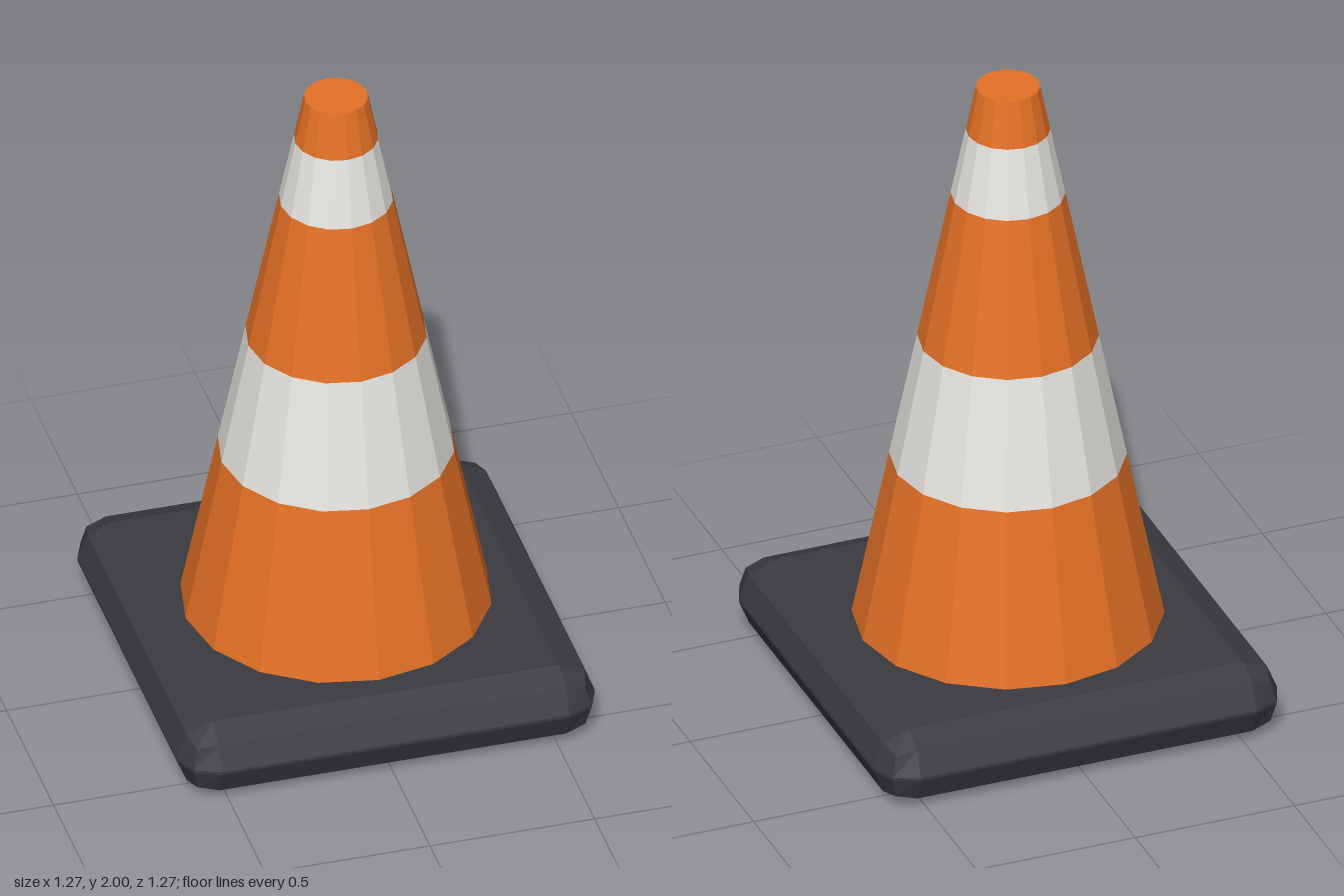
import * as THREE from 'three';
import { RoundedBoxGeometry } from 'three/addons/geometries/RoundedBoxGeometry.js';

const SIDES = 16;
const BASE_HEIGHT = 0.225;
const CONE_BOTTOM = { y: BASE_HEIGHT, r: 0.457 };
const CONE_TOP = { y: 2, r: 0.094 };

function material(name, color) {
  const m = new THREE.MeshStandardMaterial({ color, flatShading: true });
  m.name = name;
  return m;
}

// Radius of the straight cone wall at a given height
function radiusAt(y) {
  return THREE.MathUtils.mapLinear(y, CONE_BOTTOM.y, CONE_TOP.y, CONE_BOTTOM.r, CONE_TOP.r);
}

export function createModel() {
  const orange = material('orange plastic', 0xe57126);
  const white = material('white reflective band', 0xe6e4df);
  const rubber = material('dark rubber', 0x3a3a40);

  const group = new THREE.Group();
  group.name = 'trafficCone';

  // Square foot with two-step bevelled edges
  const base = new THREE.Mesh(new RoundedBoxGeometry(1.27, BASE_HEIGHT, 1.27, 1, 0.108), rubber);
  base.name = 'base';
  base.position.y = BASE_HEIGHT / 2;
  group.add(base);

  // Cone wall, stacked from alternating bands
  const bands = [
    ['lowerBody', CONE_BOTTOM.y, 0.76, orange],
    ['wideStripe', 0.76, 1.16, white],
    ['middleBody', 1.16, 1.64, orange],
    ['narrowStripe', 1.64, 1.855, white],
    ['tip', 1.855, CONE_TOP.y, orange],
  ];
  for (const [name, y0, y1, mat] of bands) {
    const geometry = new THREE.CylinderGeometry(radiusAt(y1), radiusAt(y0), y1 - y0, SIDES, 1, true);
    const band = new THREE.Mesh(geometry, mat);
    band.name = name;
    band.position.y = (y0 + y1) / 2;
    group.add(band);
  }

  // Flat cap closing the tip
  const cap = new THREE.Mesh(new THREE.CircleGeometry(CONE_TOP.r, SIDES), orange);
  cap.name = 'tipCap';
  cap.rotation.x = -Math.PI / 2;
  cap.position.y = CONE_TOP.y;
  group.add(cap);

  return group;
}
